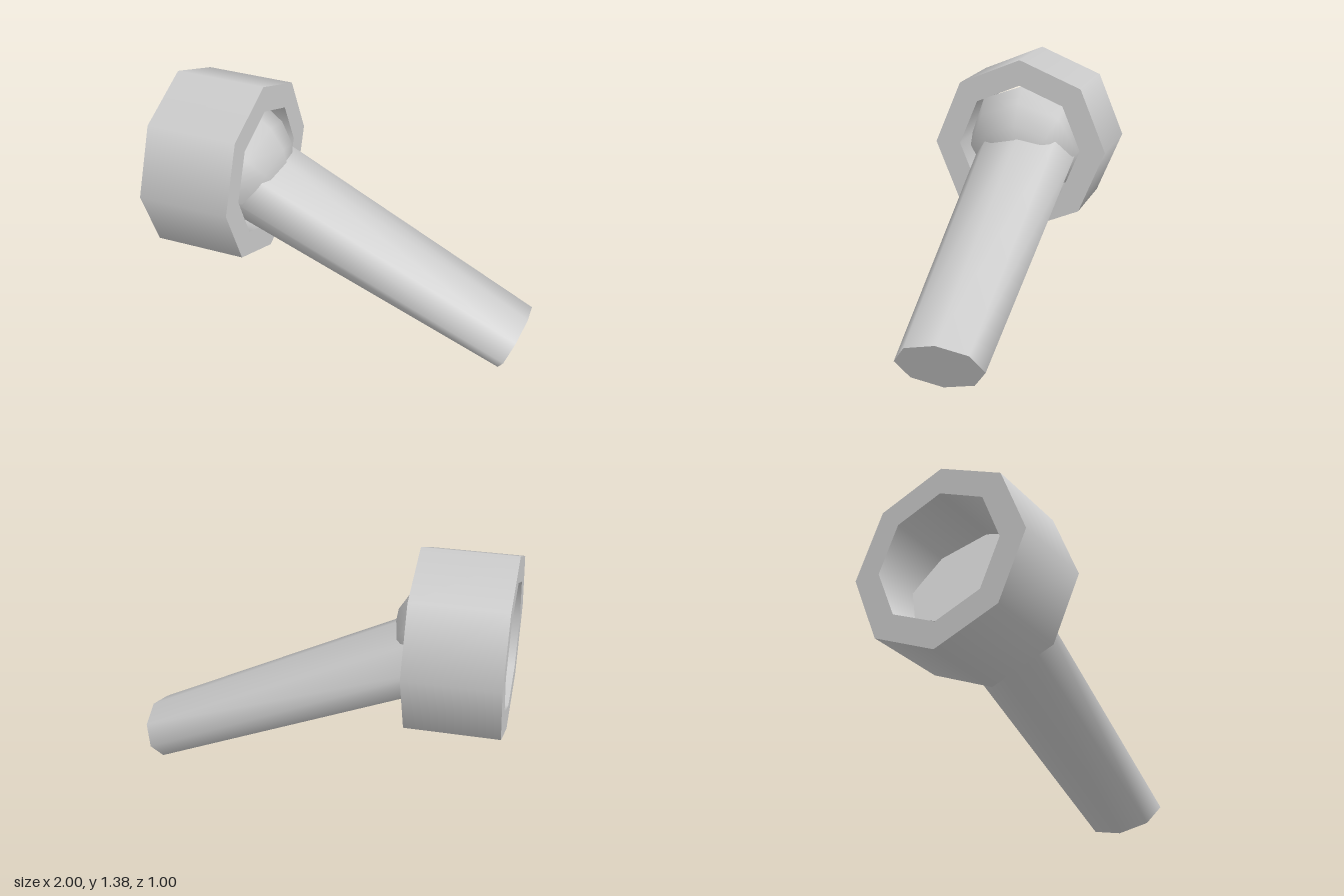
import * as THREE from 'three';
import { mergeGeometries, toCreasedNormals } from 'three/addons/utils/BufferGeometryUtils.js';

const SIDES = 8;

export function createModel() {
  const model = new THREE.Group();
  const material = new THREE.MeshStandardMaterial({ color: 0xcccccc });
  const add = (parent, name, geometry) => {
    const mesh = new THREE.Mesh(geometry, material);
    mesh.name = name;
    parent.add(mesh);
    return mesh;
  };

  // Socket ring: one smooth strip per side of a rectangular profile, axis along x
  const profile = [[0.5, -0.25], [0.5, 0.25], [0.355, 0.25], [0.355, -0.25]]
    .map(([r, y]) => new THREE.Vector2(r, y));
  const strips = profile.map((p, i) => new THREE.LatheGeometry([p, profile[(i + 1) % 4]], SIDES));
  const ring = add(model, 'socketRing', mergeGeometries(strips).rotateZ(-Math.PI / 2));
  ring.position.set(-0.75, 0.885, 0);

  // Tilted lever: built upright along y, then swung down toward +x
  const start = new THREE.Vector3(-0.725, 0.905, 0);
  const tilt = THREE.MathUtils.degToRad(-24.4);
  const lever = new THREE.Group();
  lever.name = 'lever';
  lever.position.copy(start);
  lever.rotation.z = tilt - Math.PI / 2;
  model.add(lever);

  // Half ball inside the ring, closed by a flat back
  add(lever, 'halfBall', new THREE.SphereGeometry(0.35, SIDES, 4, 0, Math.PI * 2, 0, Math.PI / 2));
  add(lever, 'halfBallBack', new THREE.CircleGeometry(0.35, SIDES).rotateX(Math.PI / 2));

  // Tapered handle, wider across z by a constant amount
  const handleStart = new THREE.Vector2(-0.7, 0.88);
  const handleEnd = new THREE.Vector2(0.938, 0.136);
  const length = handleStart.distanceTo(handleEnd);
  const handle = new THREE.CylinderGeometry(0.147, 0.207, length, SIDES);
  const pos = handle.attributes.position;
  for (let i = 0; i < pos.count; i++) {
    const r = Math.hypot(pos.getX(i), pos.getZ(i));
    if (r > 0.01) pos.setZ(i, pos.getZ(i) * (r + 0.087) / r);
  }
  const handleMesh = add(model, 'handle', toCreasedNormals(handle, 1.3));
  const mid = handleStart.clone().add(handleEnd).multiplyScalar(0.5);
  handleMesh.position.set(mid.x, mid.y, -0.015);
  handleMesh.rotation.z = tilt - Math.PI / 2;

  return model;
}
